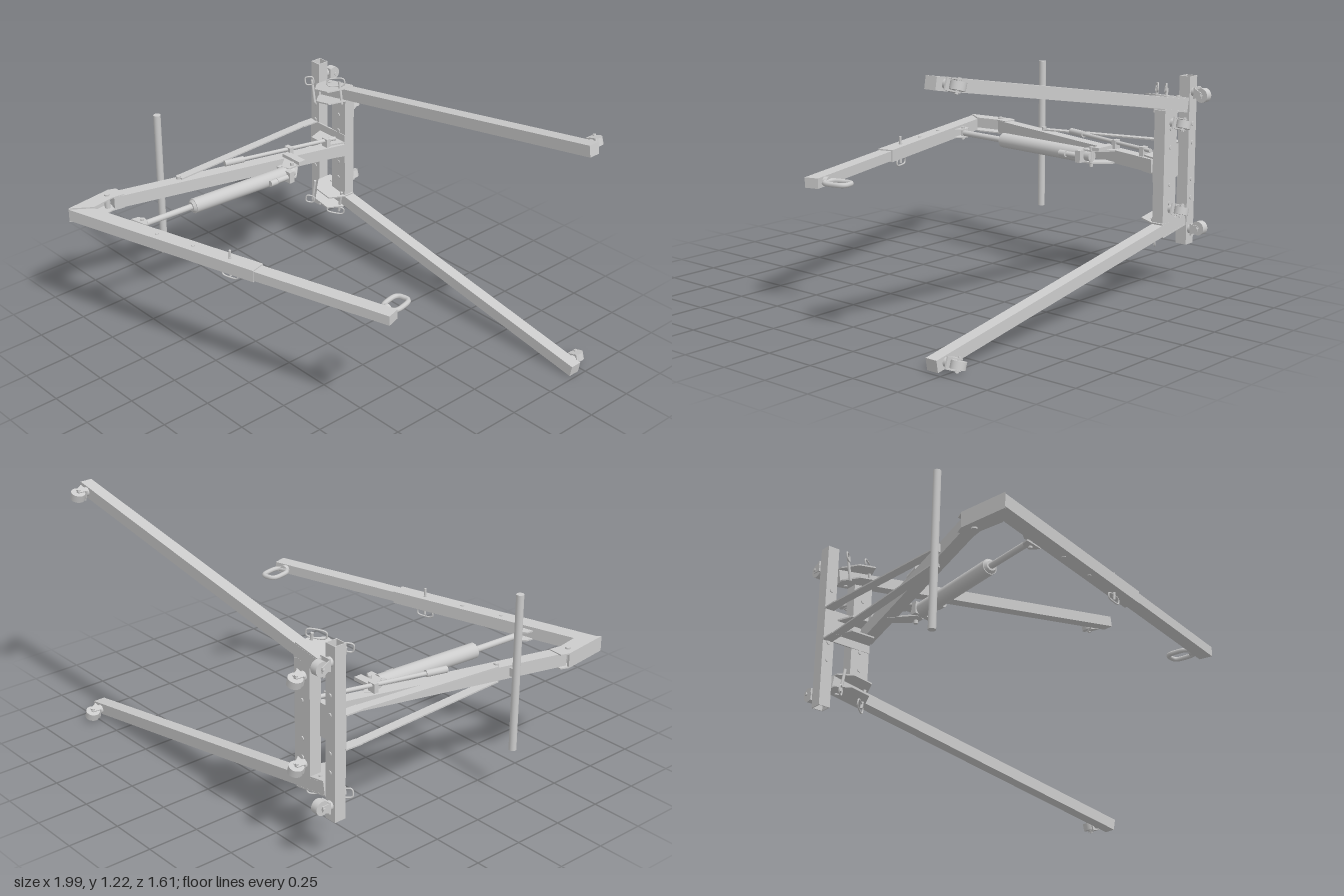
import * as THREE from 'three';

const MID = 0.62; // height of the symmetry plane
const V = (x, y, z) => new THREE.Vector3(x, y, z);

export function createModel() {
  const root = new THREE.Group();
  const mat = new THREE.MeshStandardMaterial({ color: 0xcccccc });

  function add(name, geo, parent = root) {
    const m = new THREE.Mesh(geo, mat);
    m.name = name;
    parent.add(m);
    return m;
  }
  function group(name, x, y, z, parent = root) {
    const g = new THREE.Group();
    g.name = name;
    g.position.set(x, y, z);
    parent.add(g);
    return g;
  }
  function box(name, x0, x1, y0, y1, z0, z1, parent) {
    const m = add(name, new THREE.BoxGeometry(x1 - x0, y1 - y0, z1 - z0), parent);
    m.position.set((x0 + x1) / 2, (y0 + y1) / 2, (z0 + z1) / 2);
    return m;
  }
  // Square bar from a to b; h is measured along the up direction
  function beam(name, a, b, w, h, up = V(0, 1, 0), parent) {
    const m = add(name, new THREE.BoxGeometry(w, h, a.distanceTo(b)), parent);
    m.position.copy(a).lerp(b, 0.5);
    m.up.copy(up);
    m.lookAt(b);
    return m;
  }
  // Round bar from a to b
  function rod(name, a, b, r, parent, r2 = r) {
    const m = add(name, new THREE.CylinderGeometry(r2, r, a.distanceTo(b), 24), parent);
    m.position.copy(a).lerp(b, 0.5);
    m.quaternion.setFromUnitVectors(V(0, 1, 0), b.clone().sub(a).normalize());
    return m;
  }
  // Flat plate outlined in x and z, centred on height y
  function plate(name, pts, y, t, parent) {
    const s = new THREE.Shape(pts.map(p => new THREE.Vector2(p[0], p[1])));
    const g = new THREE.ExtrudeGeometry(s, { depth: t, bevelEnabled: false });
    g.rotateX(Math.PI / 2);
    g.translate(0, y + t / 2, 0);
    return add(name, g, parent);
  }
  // Oval wire ring in the xy plane
  function ring(name, rx, ry, r, parent) {
    const pts = [];
    for (let i = 0; i < 20; i++) {
      const a = i / 20 * Math.PI * 2;
      const c = Math.cos(a), s = Math.sin(a);
      pts.push(V(rx * Math.sign(c) * Math.abs(c) ** 0.6, ry * Math.sign(s) * Math.abs(s) ** 0.6, 0));
    }
    return add(name, new THREE.TubeGeometry(new THREE.CatmullRomCurve3(pts, true), 48, r, 8, true), parent);
  }
  // Swivel caster hanging towards -z; turn spins it about its stem
  function caster(x, y, turn) {
    const g = group('caster', x, y, -0.72);
    g.rotation.z = turn;
    rod('casterStem', V(0, 0, 0.005), V(0, 0, -0.022), 0.022, g);
    box('casterTop', -0.03, 0.026, -0.027, 0.027, -0.026, -0.018, g);
    for (const s of [-1, 1]) {
      plate('casterFork', [[-0.028, -0.02], [0.024, -0.02], [0, -0.064], [-0.026, -0.064]], s * 0.025, 0.005, g);
    }
    rod('casterWheel', V(-0.012, -0.018, -0.056), V(-0.012, 0.018, -0.056), 0.034, g);
    rod('casterAxle', V(-0.012, -0.034, -0.056), V(-0.012, 0.034, -0.056), 0.008, g);
  }

  // Rear crossbar: open square tube
  const square = (h) => [[-h, -h], [h, -h], [h, h], [-h, h]].map(p => new THREE.Vector2(p[0], p[1]));
  const tubeShape = new THREE.Shape(square(0.03));
  tubeShape.holes.push(new THREE.Path(square(0.026)));
  const tube = new THREE.ExtrudeGeometry(tubeShape, { depth: 0.82, bevelEnabled: false });
  tube.rotateX(-Math.PI / 2);
  add('rearCrossbar', tube).position.set(-0.83, 0.21, -0.69);

  // Front crossbar and centre base plate
  box('frontCrossbar', -0.70, -0.60, 0.35, 0.89, -0.72, -0.66);
  box('basePlate', -0.86, -0.60, 0.54, 0.70, -0.664, -0.656);
  for (const y of [0.44, 0.53, 0.71, 0.80]) {
    rod('crossbarBolt', V(-0.65, y, -0.725), V(-0.65, y, -0.655), 0.01);
    rod('crossbarBolt', V(-0.83, y, -0.725), V(-0.83, y, -0.655), 0.01);
  }

  // Legs, brackets, locking pins and casters on both sides
  for (const s of [-1, 1]) {
    const legAngle = s * 0.172;
    const y0 = MID + s * 0.275;
    beam('leg', V(-0.79, y0, -0.69), V(0.985, MID + s * 0.583, -0.69), 0.056, 0.06, V(0, 0, 1));
    const b = group('legBracket', -0.79, y0, 0);
    b.rotation.z = legAngle;
    for (const k of [-1, 1]) {
      plate('bracketPlate', [[0, -0.72], [0.19, -0.72], [0.19, -0.655], [0.155, -0.575],
        [0.06, -0.575], [0, -0.64]], k * 0.032, 0.007, b);
    }
    // Pins carry their wire loop on the upper end above, lower end below
    for (const [x, z, r] of [[0.17, -0.65, 0.045], [0.015, -0.60, 0.022]]) {
      rod('lockPin', V(x, -s * 0.05, z), V(x, s * 0.07, z), 0.007, b);
      const loop = ring('pinLoop', r, 0.021, 0.004, b);
      loop.position.set(x - r * 0.3, s * 0.068, z + 0.012);
      loop.rotation.y = 0.7;
    }
    rod('bracketBolt', V(0.05, -0.042, -0.69), V(0.05, 0.042, -0.69), 0.01, b);
    caster(0.93, MID + s * 0.575, 0.3);
    caster(-0.66, MID + s * 0.207, 0.3);
    caster(-0.83, MID + s * 0.335, s * 1.57);

    // Rear brace: flat strap with a short foot
    const y1 = MID + s * 0.08;
    beam('brace', V(-0.868, MID + s * 0.036, 0.21), V(-0.842, y1, -0.575), 0.045, 0.007);
    beam('braceFoot', V(-0.842, y1, -0.57), V(-0.838, y1, -0.66), 0.05, 0.007);
  }

  // Mast, its foot plates and the elbow at the top
  beam('mast', V(-0.622, MID, -0.66), V(-0.95, MID, 0.56), 0.062, 0.064);
  for (const s of [-1, 1]) {
    plate('mastFoot', [[-0.79, -0.66], [-0.60, -0.66], [-0.635, -0.57], [-0.76, -0.57]], MID + s * 0.037, 0.008);
    plate('elbowPlate', [[-1, 0.55], [-0.985, 0.51], [-0.91, 0.515], [-0.92, 0.58], [-0.90, 0.70],
      [-0.97, 0.80]], MID + s * 0.034, 0.006);
  }
  plate('elbowBack', [[-1, 0.55], [-0.988, 0.55], [-0.958, 0.79], [-0.97, 0.80]], MID, 0.066);
  rod('elbowBolt', V(-0.957, 0.575, 0.585), V(-0.957, 0.665, 0.585), 0.014);
  rod('braceBolt', V(-0.868, 0.572, 0.215), V(-0.868, 0.668, 0.215), 0.012);

  // Push bar behind the mast
  rod('pushBar', V(-0.93, 0.235, 0.28), V(-0.93, 1.0, 0.28), 0.018);
  box('pushBarMount', -0.925, -0.87, 0.60, 0.64, 0.265, 0.295);

  // Boom with telescoping extension
  plate('boom', [[-0.97, 0.80], [-0.90, 0.70], [0.04, 0.432], [0.06, 0.508]], MID, 0.06);
  beam('boomExtension', V(-0.1, MID, 0.515), V(0.73, MID, 0.275), 0.068, 0.048);
  for (const x of [-0.5, -0.3, -0.1]) {
    const z = 0.482 - 0.286 * x;
    rod('boomBolt', V(x, 0.586, z), V(x, 0.654, z), 0.009);
  }
  rod('boomPin', V(-0.1, 0.555, 0.511), V(-0.1, 0.69, 0.511), 0.006);
  const boomLoop = ring('boomPinLoop', 0.043, 0.017, 0.004);
  boomLoop.position.set(-0.103, 0.562, 0.511);
  boomLoop.rotation.y = 0.28;

  // Lifting link at the boom tip
  const link = ring('liftingLink', 0.04, 0.06, 0.012);
  link.position.set(0.652, MID, 0.185);
  link.rotation.set(Math.PI / 2, 0, -0.2);
  rod('linkBase', V(0.655, MID, 0.24), V(0.675, MID, 0.30), 0.022);

  // Hydraulic ram between mast and boom
  for (const s of [-1, 1]) {
    plate('ramBracket', [[-0.715, -0.36], [-0.68, -0.40], [-0.645, -0.375], [-0.58, -0.31],
      [-0.58, -0.26], [-0.625, -0.25]], MID + s * 0.03, 0.008);
  }
  rod('ramBase', V(-0.597, MID, -0.30), V(-0.602, MID, -0.25), 0.026);
  rod('ramBody', V(-0.602, MID, -0.25), V(-0.643, MID, 0.30), 0.037);
  rod('ramCollar', V(-0.643, MID, 0.30), V(-0.644, MID, 0.312), 0.034, root, 0.024);
  rod('ramRod', V(-0.643, MID, 0.30), V(-0.66, MID, 0.58), 0.015);
  for (const s of [-1, 1]) {
    plate('ramTopLug', [[-0.705, 0.625], [-0.70, 0.59], [-0.675, 0.57], [-0.64, 0.575],
      [-0.61, 0.605]], MID + s * 0.02, 0.007);
  }
  rod('ramTopPin', V(-0.66, 0.587, 0.592), V(-0.66, 0.653, 0.592), 0.009);

  // Pump block, valve and linkage
  box('pumpBlock', -0.645, -0.545, 0.59, 0.65, -0.265, -0.235);
  rod('pumpPiston', V(-0.565, MID, -0.24), V(-0.568, MID, -0.17), 0.014);
  rod('valveKnob', V(-0.566, MID, -0.165), V(-0.567, MID, -0.125), 0.016);
  rod('ramBasePin', V(-0.597, 0.57, -0.295), V(-0.597, 0.67, -0.295), 0.01);
  box('handleSocketArm', -0.70, -0.57, 0.655, 0.672, -0.36, -0.32);

  // Pump handle stored beside the mast
  rod('pumpHandle', V(-0.632, 0.684, -0.62), V(-0.772, 0.684, -0.10), 0.01);
  rod('handleGrip', V(-0.767, 0.684, -0.12), V(-0.794, 0.684, -0.02), 0.016);
  for (const [x, z] of [[-0.645, -0.57], [-0.70, -0.365]]) {
    box('handleClip', x - 0.02, x + 0.02, 0.65, 0.697, z - 0.012, z + 0.012);
  }

  return root;
}
